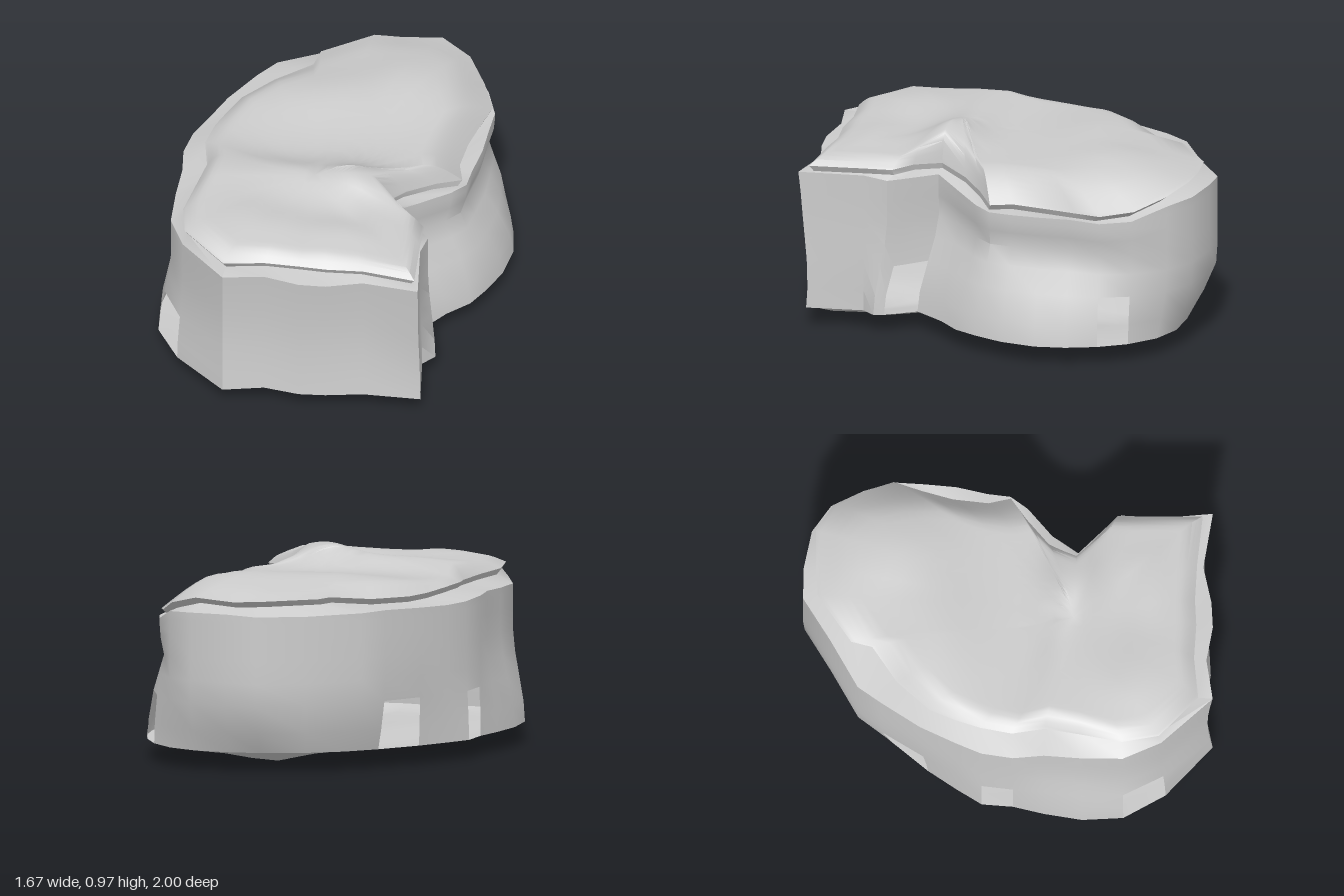
import * as THREE from 'three';
import { toCreasedNormals } from 'three/addons/utils/BufferGeometryUtils.js';

// Matching outlines (x, z), running back -> left (+x) -> front -> right (-x)
const BASE = [
  0.13, -0.87, 0.28, -0.88, 0.46, -0.86, 0.6, -0.79, 0.71, -0.67, 0.78, -0.53, 0.82, -0.38, 0.83, -0.23,
  0.79, -0.06, 0.72, 0.08, 0.65, 0.19, 0.54, 0.28, 0.42, 0.42, 0.5, 0.57, 0.51, 0.62, 0.45, 0.68,
  0.46, 0.96, 0.18, 0.94, 0, 0.96, -0.13, 0.96, -0.3, 0.92, -0.5, 0.95, -0.735, 0.71, -0.84, 0.5,
  -0.84, 0.3, -0.8, 0.12, -0.755, -0.03, -0.735, -0.18, -0.65, -0.3, -0.55, -0.43, -0.39, -0.6,
  -0.25, -0.72, -0.08, -0.81];
const BROW = [
  0.12, -1, 0.27, -0.99, 0.46, -0.94, 0.59, -0.84, 0.68, -0.68, 0.72, -0.53, 0.7, -0.38, 0.68, -0.23,
  0.64, -0.08, 0.62, 0.03, 0.55, 0.11, 0.4, 0.22, 0.29, 0.34, 0.42, 0.49, 0.47, 0.56, 0.44, 0.68,
  0.45, 1, 0.18, 0.94, 0, 0.97, -0.13, 0.97, -0.3, 0.93, -0.5, 0.95, -0.71, 0.69, -0.78, 0.5,
  -0.77, 0.3, -0.75, 0.12, -0.755, -0.03, -0.72, -0.18, -0.66, -0.3, -0.57, -0.47, -0.44, -0.65,
  -0.35, -0.76, -0.1, -0.88];
const RIM = [
  0.11, -0.93, 0.25, -0.93, 0.44, -0.92, 0.58, -0.83, 0.66, -0.69, 0.71, -0.53, 0.66, -0.4, 0.61, -0.25,
  0.58, -0.08, 0.6, 0.03, 0.48, 0.1, 0.34, 0.2, 0.25, 0.33, 0.36, 0.45, 0.45, 0.54, 0.44, 0.68,
  0.43, 0.95, 0.18, 0.91, 0, 0.89, -0.13, 0.89, -0.3, 0.87, -0.5, 0.88, -0.7, 0.68, -0.72, 0.5,
  -0.67, 0.3, -0.63, 0.13, -0.65, -0.03, -0.61, -0.18, -0.56, -0.3, -0.5, -0.42, -0.35, -0.57,
  -0.17, -0.68, -0.14, -0.78];
const N = BASE.length / 2;
const CX = -0.1, CZ = 0.3;
const OPENINGS = [4, 12, 22, 26, 29];   // wall panels left open at the foot

const { lerp, smoothstep } = THREE.MathUtils;
const bump = (x, z, cx, cz, rx, rz) => Math.exp(-(((x - cx) / rx) ** 2) - ((z - cz) / rz) ** 2);

// One closed ring: fn(i) gives [x, y, z]
const ring = fn => Array.from({ length: N }, (_, i) => fn(i));
const at = (outline, i) => [outline[2 * i], outline[2 * i + 1]];

// Skin a stack of rings, leaving out the panels that skip() names
function loft(name, rings, material, crease, skip = () => false) {
  const index = [];
  for (let r = 0; r < rings.length - 1; r++) {
    for (let i = 0; i < N; i++) {
      if (skip(r, i)) continue;
      const a = r * N + i, b = r * N + (i + 1) % N;
      index.push(a, a + N, b + N, a, b + N, b);
    }
  }
  const geometry = new THREE.BufferGeometry();
  geometry.setAttribute('position', new THREE.Float32BufferAttribute(rings.flat(2), 3));
  geometry.setIndex(index);
  const mesh = new THREE.Mesh(toCreasedNormals(geometry, crease), material);
  mesh.name = name;
  return mesh;
}

// Rolling relief of the upper surface: a ridge across the middle, humps around it
function topHeight(x, z) {
  const across = z - (0.28 + 0.14 * x);
  const ridge = Math.exp(-((across / (across < 0 ? 0.12 : 0.15)) ** 2));
  return 0.868
    + ridge * (0.055 + 0.05 * bump(x, 0, 0.1, 0, 0.16, 1)) * (1 - smoothstep(x, 0.25, 0.5))
    + 0.045 * bump(x, z, -0.42, 0.6, 0.22, 0.18)
    + 0.028 * bump(x, z, 0.1, 0.68, 0.25, 0.12)
    + 0.05 * bump(x, z, -0.1, -0.38, 0.38, 0.22)
    + 0.055 * bump(x, z, 0.32, -0.55, 0.22, 0.25);
}

// Keeled relief of the underside
function floorHeight(x, z) {
  const keel = Math.exp(-(((x - 0.12) / (x < 0.12 ? 0.16 : 0.24)) ** 2));
  return 0.088 - keel * (0.066 + 0.012 * Math.sin(z * 11)) - 0.006 * Math.sin(x * 9 + z * 5);
}

// The edge sags along the left flank, behind the notch
const sag = (x, z) => 0.075 * smoothstep(x, 0.2, 0.45) * smoothstep(z, -0.86, -0.6) * (1 - smoothstep(z, 0.3, 0.45));

const rimHeight = (x, z) => 0.822 + 0.03 * smoothstep(-x, 0.5, 0.7) + 0.025 * smoothstep(-z, 0.2, 0.9)
  - 0.025 * smoothstep(x, 0.5, 0.6) + 0.008 * Math.sin(x * 14 + z * 5) - sag(x, z);

export function createModel() {
  const group = new THREE.Group();
  group.name = 'hollowRock';
  const material = new THREE.MeshStandardMaterial({ color: 0xcccccc, side: THREE.DoubleSide });

  // Side wall: hollow at the front, tucked under at the back, waisted on the left flank
  const wallRings = [0.1, 0.2, 0.34, 0.45, 0.56, 0.67, 0.74, 0.78].map(y => ring(i => {
    const t = (y - 0.1) / 0.68;
    const [bx, bz] = at(BASE, i), [tx, tz] = at(BROW, i);
    const behind = smoothstep(-bz, 0.3, 0.75) * (1 - smoothstep(bx, 0.55, 0.7));
    const k = lerp(smoothstep(t, 0, 0.7), Math.sin(Math.PI / 2 * Math.min(1, t / 0.45)), behind);
    const hollow = 0.025 * Math.sin(Math.PI * t) * smoothstep(bz, 0.7, 0.9);
    const sink = sag(tx, tz) * smoothstep(t, 0.45, 1);
    const waist = 0.4 * sag(tx, tz) * bump(t, 0, 0.65, 0, 0.15, 1);
    return [lerp(bx, tx, k) - waist, y - sink + 0.008 * t * Math.sin(i * 1.3), lerp(bz, tz, k) - hollow];
  }));
  group.add(loft('sideWall', wallRings, material, 0.75, (r, i) => r < 2 && OPENINGS.includes(i)));

  // Recessed fold between the wall and the overhanging cap
  const browRing = wallRings[wallRings.length - 1];
  const foldRing = ring(i => {
    const [x, z] = at(RIM, i);
    return [lerp(x, CX, 0.03), rimHeight(x, z) - 0.03, lerp(z, CZ, 0.03)];
  });
  const rimRing = ring(i => {
    const [x, z] = at(RIM, i);
    return [x, rimHeight(x, z), z];
  });
  group.add(loft('capFold', [browRing, foldRing, rimRing], material, 0.9));

  // Cap: rings shrinking to the centre, rising from the rim to the relief,
  // steeply at the front and more gently on the left flank
  const capRings = Array.from({ length: 19 }, (_, k) => {
    const s = Math.pow(k / 18, 1.4);
    return ring(i => {
      const [rx, rz] = at(RIM, i);
      const x = lerp(rx, CX, s), z = lerp(rz, CZ, s);
      const reach = 0.14 + 2 * sag(rx, rz);
      const rise = Math.sin(Math.PI / 2 * Math.min(1, s / reach));
      return [x, lerp(rimHeight(rx, rz), topHeight(x, z), rise), z];
    });
  });
  group.add(loft('cap', capRings, material, 0.9));

  // Underside, from the centre out to the foot of the wall
  const floorRings = Array.from({ length: 13 }, (_, k) => {
    const s = k / 12;
    return ring(i => {
      const [bx, bz] = at(BASE, i);
      const x = lerp(CX, bx, s), z = lerp(CZ, bz, s);
      return [x, lerp(floorHeight(x, z), wallRings[0][i][1], smoothstep(s, 0.83, 1)), z];
    });
  });
  group.add(loft('underside', floorRings, material, 0.9));

  return group;
}
